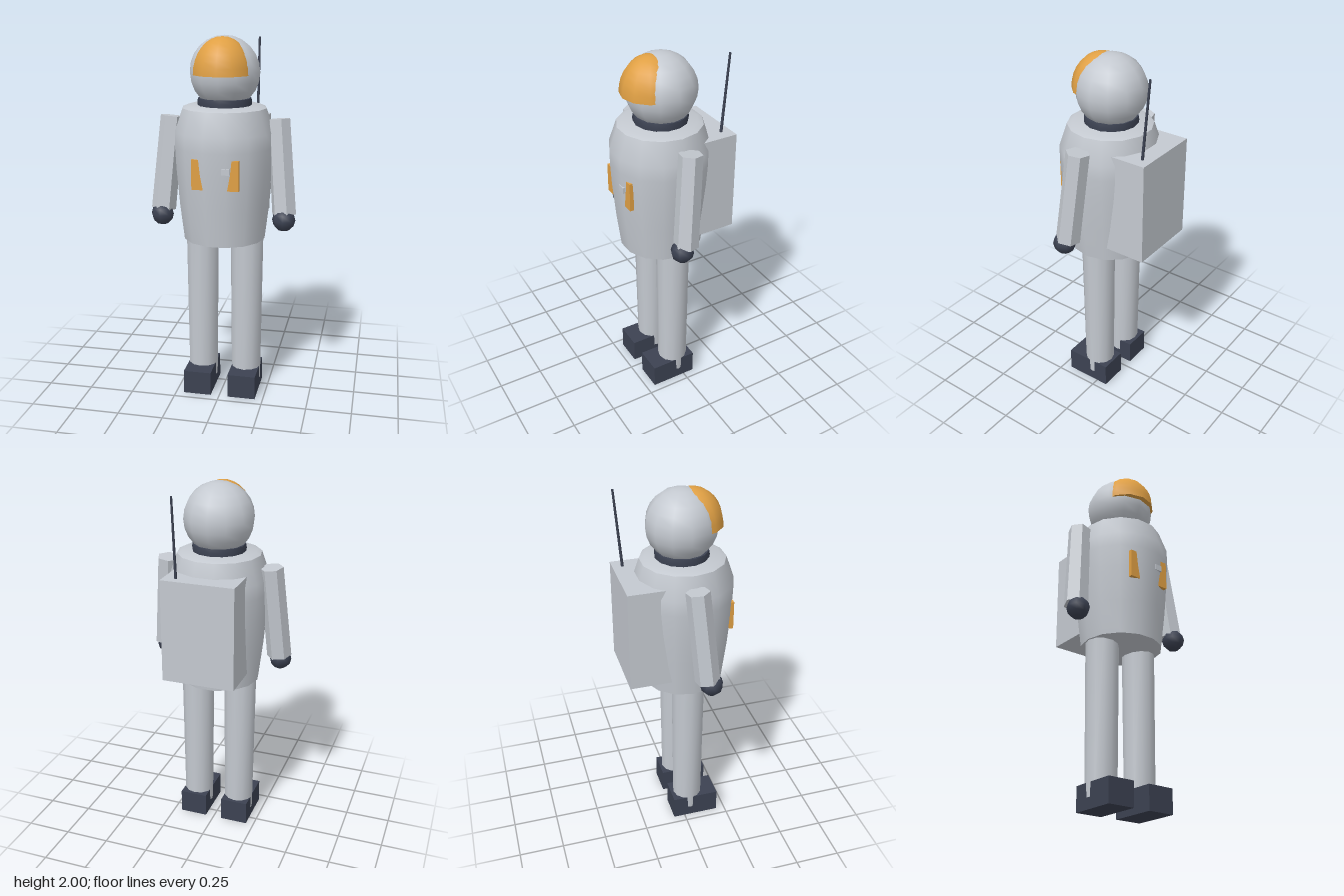
import * as THREE from 'three';
import { toCreasedNormals } from 'three/addons/utils/BufferGeometryUtils.js';

const material = (name, color) => {
  const m = new THREE.MeshStandardMaterial({ color });
  m.name = name;
  return m;
};

export function createModel() {
  const model = new THREE.Group();
  model.name = 'spacesuitFigure';
  const suit = material('suit grey', 0xc4c9d0);
  const dark = material('dark rubber', 0x3c4252);
  const gold = material('gold', 0xe0a044);

  const add = (name, geometry, mat, x = 0, y = 0, z = 0) => {
    const mesh = new THREE.Mesh(geometry, mat);
    mesh.name = name;
    mesh.position.set(x, y, z);
    model.add(mesh);
    return mesh;
  };
  // Box given by its lower and upper corners
  const addBox = (name, mat, [x0, y0, z0], [x1, y1, z1]) =>
    add(name, new THREE.BoxGeometry(x1 - x0, y1 - y0, z1 - z0), mat,
      (x0 + x1) / 2, (y0 + y1) / 2, (z0 + z1) / 2);
  // Surface of revolution, listed from bottom to top
  const lathe = (points, sides, start = 0) => toCreasedNormals(
    new THREE.LatheGeometry(points.map(([r, y]) => new THREE.Vector2(r, y)), sides, start), 0.62);
  // Tapered rod between two points
  const addRod = (name, mat, from, to, r0, r1, sides) => {
    const a = new THREE.Vector3(...from), b = new THREE.Vector3(...to);
    const dir = b.clone().sub(a);
    const geometry = toCreasedNormals(
      new THREE.CylinderGeometry(r1, r0, dir.length(), sides), 0.62);
    const mesh = add(name, geometry, mat, ...a.add(b).multiplyScalar(0.5).toArray());
    mesh.quaternion.setFromUnitVectors(new THREE.Vector3(0, 1, 0), dir.normalize());
    return mesh;
  };

  // Barrel torso with a flat front and back facet
  add('torso', lathe([
    [0, 0.885], [0.225, 0.908], [0.248, 1.1], [0.265, 1.3], [0.271, 1.42],
    [0.271, 1.5], [0.228, 1.625], [0.2, 1.637], [0, 1.637],
  ], 14, Math.PI / 14), suit, 0, 0, 0.04);

  // Neck ring, helmet and visor
  add('neckRing', lathe([
    [0, 1.62], [0.142, 1.62], [0.146, 1.655], [0.142, 1.675], [0, 1.675],
  ], 14), dark, 0, 0, 0.035);
  add('helmet', new THREE.SphereGeometry(0.19, 12, 12), suit, 0, 1.81, 0.033);
  const dome = [[0, 0]];
  for (let i = 0; i <= 8; i++) {
    const t = (i / 8) * Math.PI / 2;
    dome.push([i === 8 ? 0 : 0.161 * Math.cos(t), 0.194 * Math.sin(t)]);
  }
  add('visor', lathe(dome, 12), gold, 0, 1.802, 0.09);

  // Backpack and antenna
  addBox('backpack', suit, [-0.2, 0.99, -0.305], [0.2, 1.55, -0.05]);
  addRod('antenna', dark, [0.133, 1.53, -0.25], [0.133, 1.977, -0.287], 0.008, 0.006, 8);

  // Buckle on the chest
  addBox('chestBuckle', suit, [0.035, 1.312, 0.26], [0.08, 1.345, 0.304]);

  for (const [side, s] of [['left', 1], ['right', -1]]) {
    // Chest strap, partly sunk in the torso
    add(side + 'ChestStrap', new THREE.BoxGeometry(0.065, 0.16, 0.022), gold, s * 0.0925, 1.305, 0.278);

    // Six-sided arm and glove
    const arm = addRod(side + 'Arm', suit, [s * 0.336, 1.06, 0.078], [s * 0.291, 1.57, 0.031], 0.067, 0.063, 6);
    arm.rotateY(s * 0.35);
    add(side + 'Glove', new THREE.SphereGeometry(0.063, 8, 6), dark, s * 0.337, 1.036, 0.1);

    // Leg, just breaking through the side of its boot
    const leg = toCreasedNormals(new THREE.CylinderGeometry(0.092, 0.083, 0.88, 12), 0.62);
    add(side + 'Leg', leg, suit, s * 0.126, 0.5, 0.035);
    add(side + 'Boot', new THREE.BoxGeometry(0.156, 0.135, 0.265), dark, s * 0.127, 0.0675, 0.0675);
  }
  return model;
}
